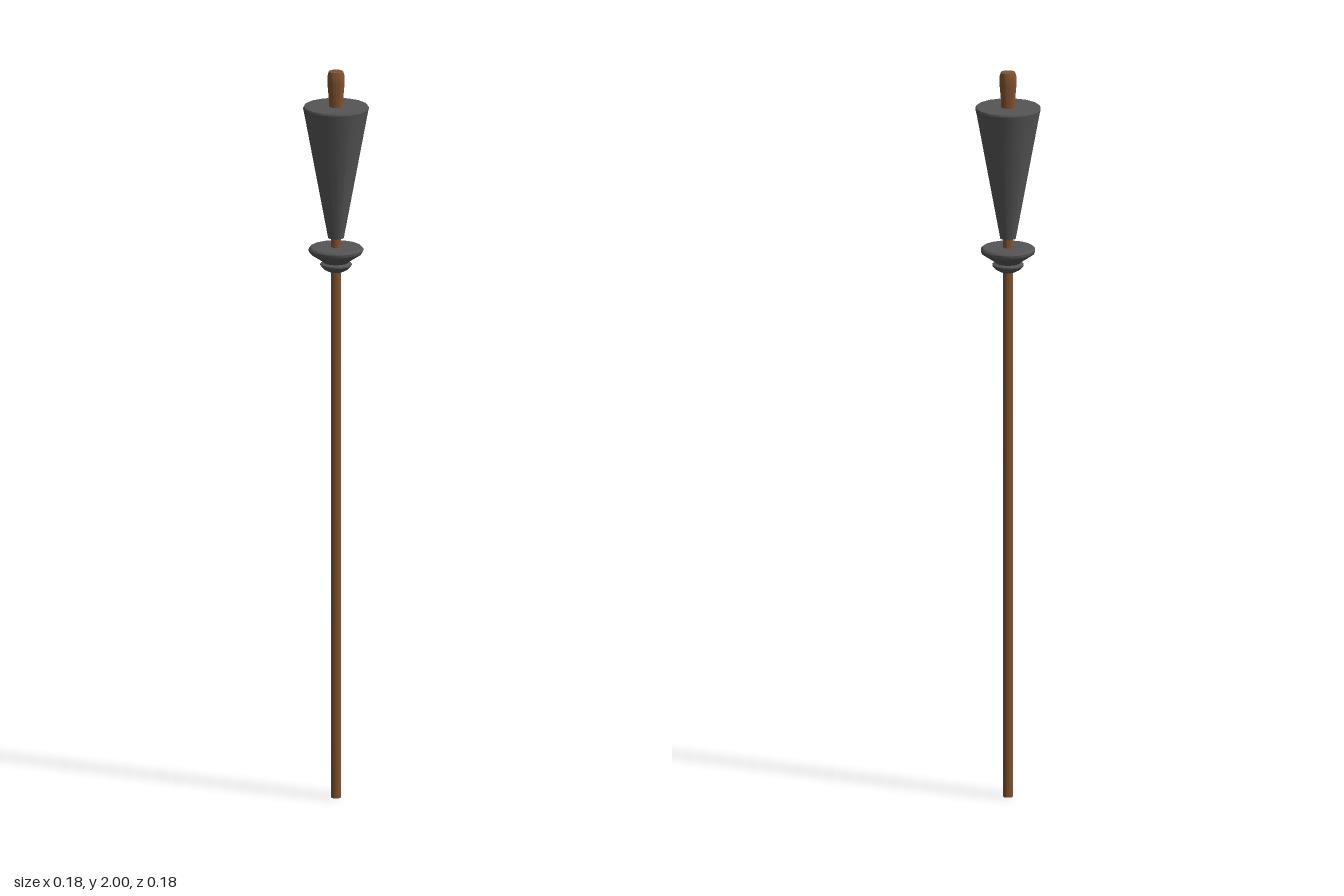
import * as THREE from 'three';
import { toCreasedNormals } from 'three/addons/utils/BufferGeometryUtils.js';

const wood = new THREE.MeshStandardMaterial({ color: 0x82532f });
wood.name = 'wood brown';
const iron = new THREE.MeshStandardMaterial({ color: 0x555555 });
iron.name = 'iron grey';

// Turned part from [radius, height] points, listed bottom to top
function turned(name, material, points, sides = 16) {
  const profile = points.map(([r, y]) => new THREE.Vector2(r, y));
  const geometry = toCreasedNormals(new THREE.LatheGeometry(profile, sides), 0.6);
  const mesh = new THREE.Mesh(geometry, material);
  mesh.name = name;
  return mesh;
}

export function createModel() {
  const torch = new THREE.Group();
  torch.name = 'torch';

  // Long pole running up into the cone
  torch.add(turned('pole', wood, [[0, 0], [0.013, 0], [0.013, 1.6], [0, 1.6]]));

  // Small collar under the drip plate
  torch.add(turned('collar', iron, [
    [0, 1.449], [0.022, 1.449], [0.034, 1.456], [0.042, 1.465], [0.042, 1.469],
    [0.03, 1.474], [0, 1.474],
  ]));

  // Flared drip plate with a thin rim
  torch.add(turned('dripPlate', iron, [
    [0, 1.472], [0.032, 1.472], [0.04, 1.479], [0.07, 1.499], [0.073, 1.505],
    [0.073, 1.51], [0.068, 1.515], [0, 1.515],
  ]));

  // Tapered torch head
  torch.add(turned('headCone', iron, [
    [0, 1.54], [0.021, 1.54], [0.085, 1.885], [0.088, 1.897], [0.086, 1.902], [0, 1.902],
  ]));

  // Stub rising from the head, slightly thicker at its top
  torch.add(turned('wick', wood, [
    [0, 1.88], [0.018, 1.88], [0.019, 1.92], [0.023, 1.965], [0.023, 1.985],
    [0.019, 1.998], [0, 2],
  ]));

  return torch;
}
